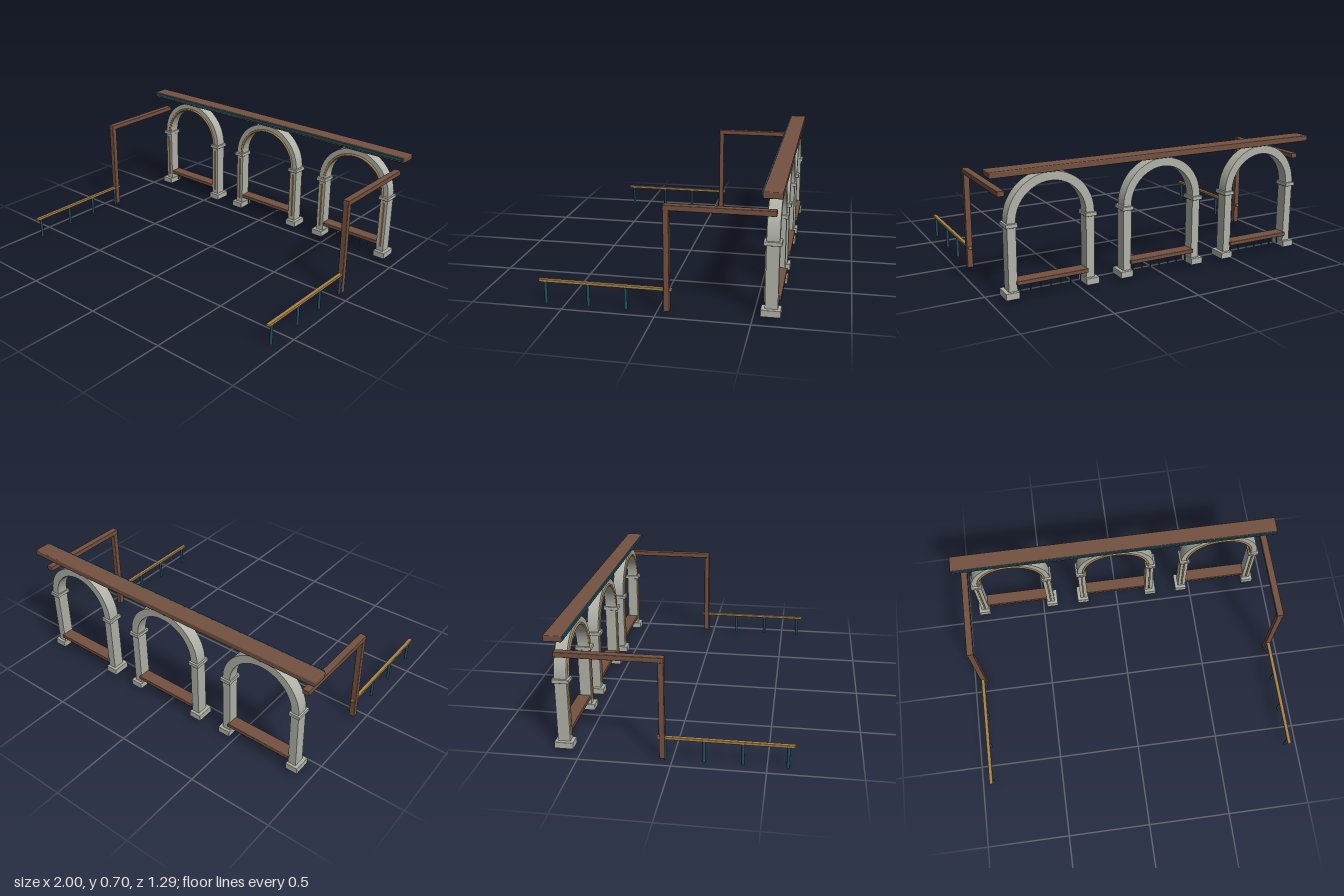
import * as THREE from 'three';
import { toCreasedNormals } from 'three/addons/utils/BufferGeometryUtils.js';
import { RoundedBoxGeometry } from 'three/addons/geometries/RoundedBoxGeometry.js';

const material = (name, color) => {
  const m = new THREE.MeshStandardMaterial({ color });
  m.name = name;
  return m;
};

export function createModel() {
  const wood = material('brown wood', 0x745140);
  const stone = material('pale stone', 0xb0b2a8);
  const teal = material('dark teal', 0x20505c);
  const gold = material('old gold', 0xaa8448);

  const model = new THREE.Group();
  model.name = 'arcade';

  const add = (parent, name, geometry, mat, x = 0, y = 0, z = 0) => {
    const mesh = new THREE.Mesh(geometry, mat);
    mesh.name = name;
    mesh.position.set(x, y, z);
    parent.add(mesh);
    return mesh;
  };

  // Softly bevelled box given by its limits on each axis
  const block = (parent, name, mat, [x0, x1], [y0, y1], [z0, z1], bevel = 0.003) => {
    const geometry = bevel
      ? new RoundedBoxGeometry(x1 - x0, y1 - y0, z1 - z0, 2, bevel)
      : new THREE.BoxGeometry(x1 - x0, y1 - y0, z1 - z0);
    return add(parent, name, geometry, mat, (x0 + x1) / 2, (y0 + y1) / 2, (z0 + z1) / 2);
  };

  // Long roof beam with its teal fascia
  block(model, 'roofBeam', wood, [-0.998, 0.998], [0.665, 0.699], [-0.642, -0.543], 0.005);
  block(model, 'fascia', teal, [-0.99, 0.99], [0.677, 0.696], [-0.545, -0.535], 0.002);

  // Half-ring of the arch
  const springY = 0.42;
  const ring = new THREE.Shape();
  ring.absarc(0, 0, 0.245, 0, Math.PI, false);
  ring.absarc(0, 0, 0.198, Math.PI, 0, true);
  const archGeometry = toCreasedNormals(
    new THREE.ExtrudeGeometry(ring, { depth: 0.067, bevelEnabled: false, curveSegments: 32 }), 0.5);
  const archTrimGeometry = new THREE.TorusGeometry(0.207, 0.007, 8, 40, Math.PI);
  const spindleGeometry = new THREE.CylinderGeometry(0.004, 0.004, 0.055, 8);

  for (const centre of [-0.667, 0, 0.667]) {
    const bay = new THREE.Group();
    bay.name = 'archBay';
    bay.position.x = centre;
    model.add(bay);

    add(bay, 'arch', archGeometry, stone, 0, springY, -0.627);
    add(bay, 'archTrim', archTrimGeometry, gold, 0, springY, -0.56);

    for (const side of [-1, 1]) {
      const span = (a, b) => (side > 0 ? [a, b] : [-b, -a]);
      block(bay, 'column', stone, span(0.197, 0.245), [0.04, springY], [-0.627, -0.56], 0);
      block(bay, 'capital', stone, span(0.19, 0.256), [0.398, 0.42], [-0.639, -0.545]);
      block(bay, 'columnBase', stone, span(0.191, 0.266), [0.017, 0.055], [-0.644, -0.539]);
      block(bay, 'columnTrim', gold, span(0.217, 0.227), [0.083, 0.376], [-0.562, -0.553], 0);
    }

    // Low plank between the columns, with spindles below
    block(bay, 'plank', wood, [-0.203, 0.203], [0.088, 0.111], [-0.641, -0.563], 0.004);
    for (let i = -3; i <= 3; i++) {
      add(bay, 'spindle', spindleGeometry, teal, i * 0.0575, 0.065, -0.602);
    }
  }

  // Side frames and handrails reaching forward
  const railPostGeometry = new THREE.CylinderGeometry(0.0085, 0.0085, 0.125, 12);
  for (const side of [-1, 1]) {
    const wing = new THREE.Group();
    wing.name = side > 0 ? 'leftWing' : 'rightWing';
    wing.position.x = side * 0.932;
    model.add(wing);

    block(wing, 'framePost', wood, [-0.017, 0.017], [0.01, 0.585], [-0.069, -0.038]);
    block(wing, 'frameBeam', wood, [-0.02, 0.02], [0.561, 0.59], [-0.611, -0.037]);
    block(wing, 'handrail', gold, [-0.011, 0.011], [0.121, 0.137], [-0.081, 0.643]);
    for (const z of [0.608, 0.373, 0.168, -0.038]) {
      add(wing, 'railPost', railPostGeometry, teal, 0, 0.0625, z);
    }
  }

  return model;
}
